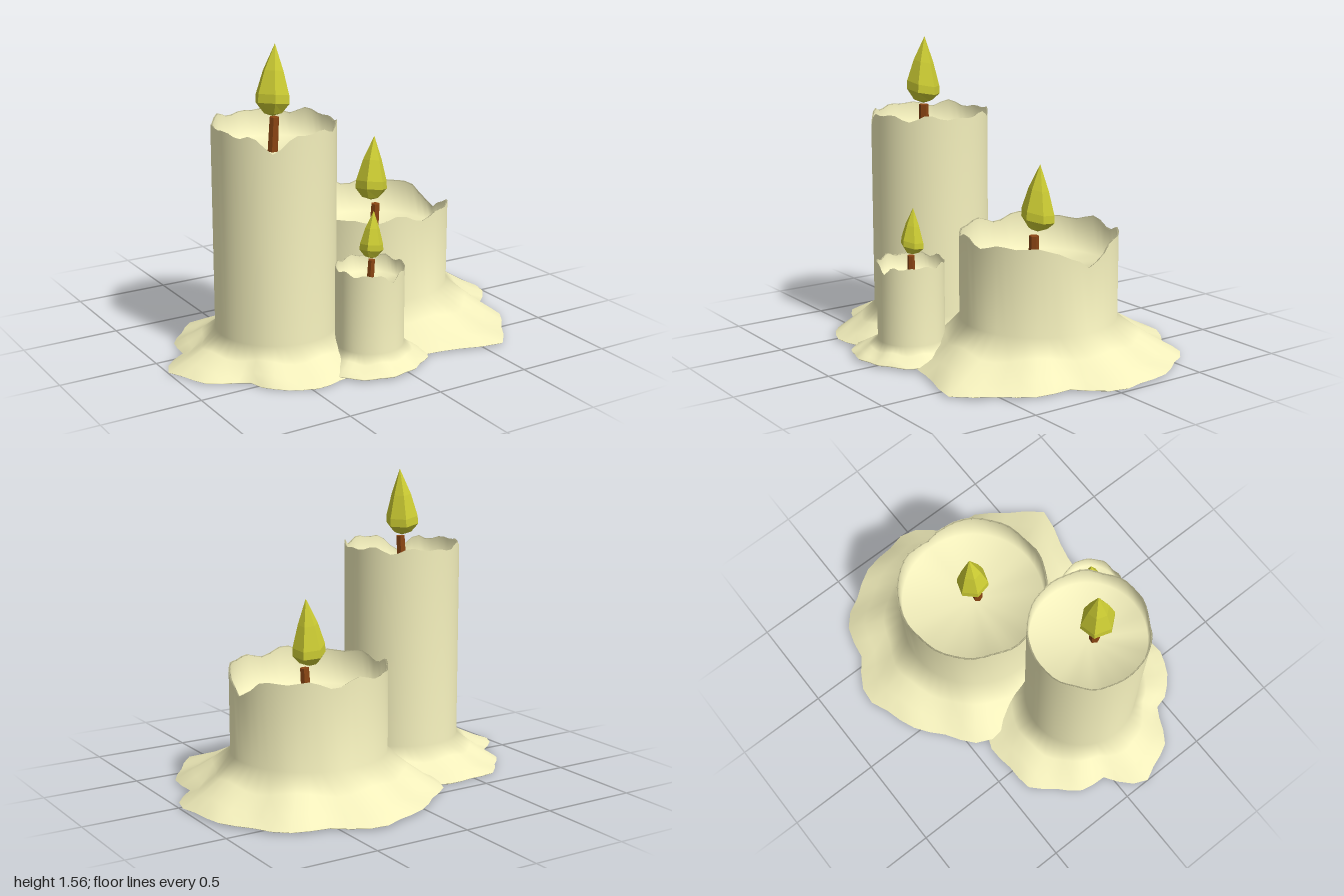
import * as THREE from 'three';

const SEG = 48;
const wax = new THREE.MeshStandardMaterial({ color: 0xf2eebb, side: THREE.DoubleSide });
const wickMat = new THREE.MeshStandardMaterial({ color: 0x8b4513, flatShading: true });
const flameMat = new THREE.MeshStandardMaterial({ color: 0xcccc33, flatShading: true });

// skirt: outer radii of the melted wax, evenly spaced from +x towards the front
// notch: where the rim has run down (angle in degrees, depth)
const wide = {
  name: 'wide', x: 0.29, z: -0.05, r: 0.4, top: 0.63, wave: 0.02, flare: 0.2,
  floor: 0.45, base: 0.006, notchAngle: 0, notchDepth: 0.125,
  skirt: [0.71, 0.62, 0.71, 0.8, 0.68, 0.62, 0.6, 0.61,
    0.6, 0.67, 0.67, 0.67, 0.73, 0.68, 0.72, 0.7],
  wickX: 0.29, wickZ: -0.02, wickR: 0.027, wickTop: 0.615,
  flameX: 0.285, flameZ: -0.048, flameR: 0.088, flameY: 0.63, flameH: 0.345,
};
const tall = {
  name: 'tall', x: -0.405, z: 0.145, r: 0.305, top: 1.175, wave: 0.016, flare: 0.14,
  floor: 1.04, base: 0, notchAngle: 122, notchDepth: 0.08,
  skirt: [0.5, 0.49, 0.51, 0.51, 0.53, 0.53, 0.44, 0.53,
    0.595, 0.48, 0.53, 0.57, 0.56, 0.55, 0.48, 0.49],
  wickX: -0.42, wickZ: 0.17, wickR: 0.027, wickTop: 1.21,
  flameX: -0.425, flameZ: 0.17, flameR: 0.09, flameY: 1.215, flameH: 0.35,
};
const small = {
  name: 'small', x: -0.065, z: 0.485, r: 0.17, top: 0.485, wave: 0.01, flare: 0.09,
  floor: 0.4, base: 0.011, notchAngle: 80, notchDepth: 0.04,
  skirt: [0.27, 0.29, 0.27, 0.28, 0.3, 0.31, 0.25, 0.24, 0.25, 0.25, 0.25, 0.25],
  wickX: -0.06, wickZ: 0.485, wickR: 0.02, wickTop: 0.515,
  flameX: -0.055, flameZ: 0.48, flameR: 0.061, flameY: 0.52, flameH: 0.24,
};

// Reads an evenly spaced table at segment j, blending between entries
function sample(table, j) {
  const t = (j / SEG) * table.length;
  const i = Math.floor(t);
  return THREE.MathUtils.lerp(table[i], table[(i + 1) % table.length], t - i);
}

// Ragged rim: overlapping waves with one V-shaped run-down notch
function rimHeight(c, j) {
  const a = (j / SEG) * Math.PI * 2;
  const waves = 0.6 * Math.sin(7 * a + c.x * 5) + 0.6 * Math.sin(11 * a + 1);
  const off = Math.abs(((j * 360 / SEG - c.notchAngle + 540) % 360) - 180);
  return c.top + c.wave * waves - c.notchDepth * Math.max(0, 1 - off / 21);
}

// Closed rings joined into one smooth surface; each ring maps a segment to [radius, y]
function ringSurface(rings) {
  const pos = [], index = [];
  rings.forEach((ring, i) => {
    for (let j = 0; j < SEG; j++) {
      const a = (j / SEG) * Math.PI * 2;
      const [r, y] = ring(j);
      pos.push(r * Math.cos(a), y, r * Math.sin(a));
      if (i === rings.length - 1) continue;
      const p = i * SEG + j, q = i * SEG + ((j + 1) % SEG);
      index.push(p, q, p + SEG, q, q + SEG, p + SEG);
    }
  });
  const geo = new THREE.BufferGeometry();
  geo.setAttribute('position', new THREE.Float32BufferAttribute(pos, 3));
  geo.setIndex(index);
  geo.computeVertexNormals();
  return geo;
}

// One skin: hollow floor, inner wall, ragged rim, outer wall, drooping skirt, flat underside
function makeBody(c) {
  const rim = (j) => rimHeight(c, j);
  const edgeR = (j) => sample(c.skirt, j) + 0.035 * c.r * Math.sin(j * Math.PI * 0.5);
  // t = 0 at the candle wall and 1 at the outer edge
  const skirt = (t) => (j) => {
    const ripple = 0.07 * Math.sin(j * Math.PI / 3 + c.x * 9) - 0.08;
    return [
      THREE.MathUtils.lerp(c.r, edgeR(j), t),
      THREE.MathUtils.lerp(c.flare, c.base + 0.006, t) + ripple * c.flare,
    ];
  };
  const geo = ringSurface([
    () => [0, c.floor],
    () => [c.r * 0.96, c.floor],
    (j) => [c.r * 0.975, rim(j) - 0.004],
    (j) => [c.r, rim(j)],
    () => [c.r, c.flare],
    skirt(0.35), skirt(0.7),
    (j) => [edgeR(j), c.base + 0.006],
    (j) => [edgeR(j) * 0.985, c.base],
    () => [0, c.base],
  ]);
  const body = new THREE.Mesh(geo, wax);
  body.name = c.name + 'WaxBody';
  body.position.set(c.x, 0, c.z);
  return body;
}

function makeWick(c) {
  const h = c.wickTop - c.floor + 0.01;
  const wick = new THREE.Mesh(new THREE.CylinderGeometry(c.wickR * 0.9, c.wickR, h, 6), wickMat);
  wick.name = c.name + 'Wick';
  wick.position.set(c.wickX, c.wickTop - h / 2, c.wickZ);
  wick.rotation.set(0.05, 0.4, -0.05);
  return wick;
}

// Faceted teardrop with a slightly leaning tip and a skewed belly
function makeFlame(c, turn) {
  const profile = [[0, 0], [0.55, 0.05], [0.97, 0.18], [0.95, 0.3], [0.58, 0.63], [0, 1]];
  const points = profile.map(([r, y]) => new THREE.Vector2(r * c.flameR, y * c.flameH));
  const geo = new THREE.LatheGeometry(points, 6, turn);
  const pos = geo.attributes.position;
  for (let k = 0; k < pos.count; k++) {
    const x = pos.getX(k), y = pos.getY(k), z = pos.getZ(k);
    pos.setX(k, x + 0.2 * c.flameR * (y / c.flameH) ** 2);
    pos.setY(k, y + 0.15 * (z - x) * Math.min(1, 5 * y / c.flameH));
  }
  const flame = new THREE.Mesh(geo, flameMat);
  flame.name = c.name + 'Flame';
  flame.position.set(c.flameX, c.flameY, c.flameZ);
  return flame;
}

export function createModel() {
  const model = new THREE.Group();
  model.name = 'candleCluster';
  [wide, tall, small].forEach((c, i) => {
    const candle = new THREE.Group();
    candle.name = c.name + 'Candle';
    candle.add(makeBody(c), makeWick(c), makeFlame(c, i * 0.5 + 0.2));
    model.add(candle);
  });
  return model;
}
